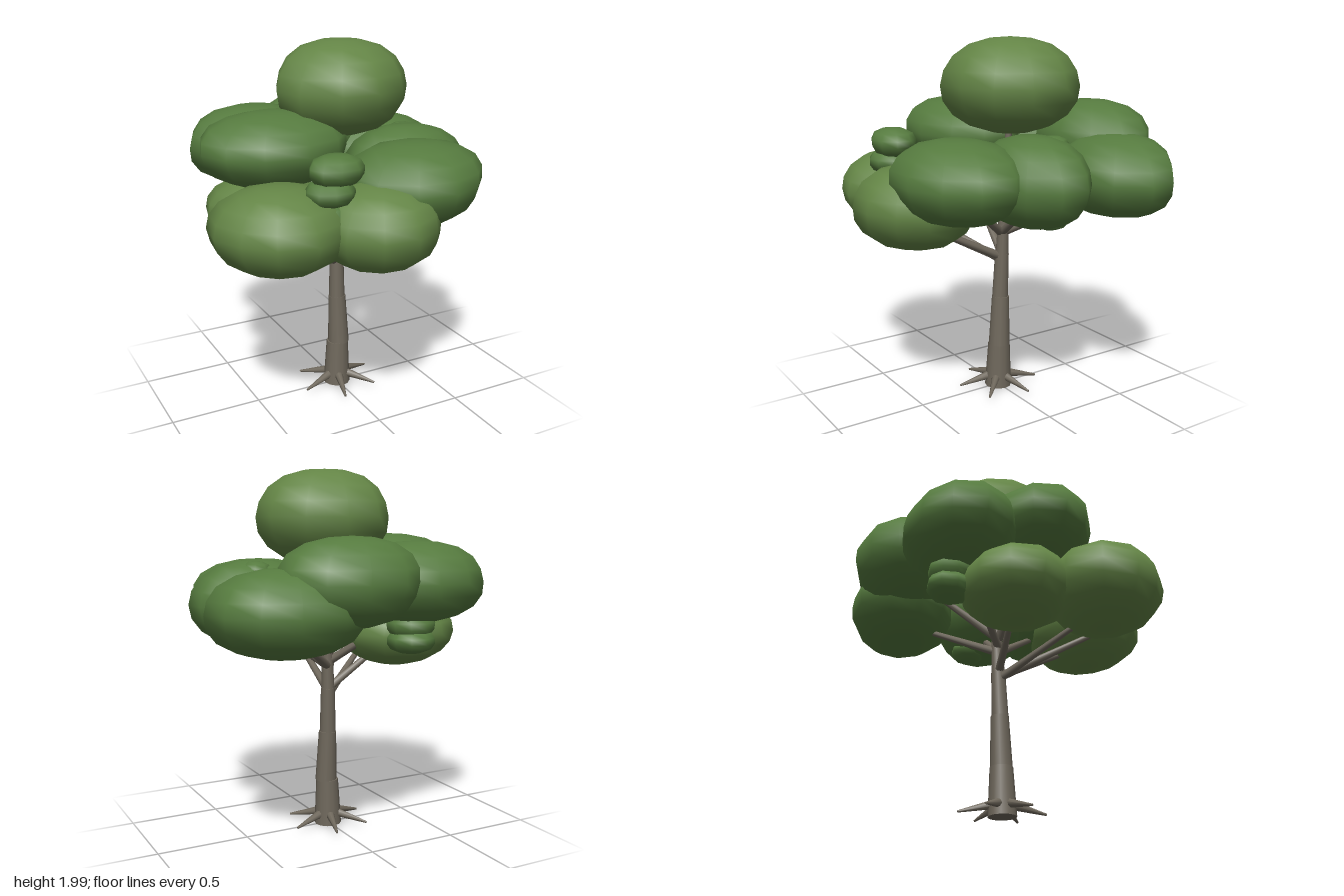
import * as THREE from 'three';

const bark = new THREE.MeshStandardMaterial({ color: 0x6f685c });
const leafLight = new THREE.MeshStandardMaterial({ color: 0x648546 });
const leafDark = new THREE.MeshStandardMaterial({ color: 0x567b3f });

function seeded(seed) {
  let s = seed;
  return () => (s = (s * 16807) % 2147483647) / 2147483647;
}

// Lumpy leaf mass: a coarse ellipsoid whose sides bulge by a few slow waves.
// skew > 0 widens it along the x = z diagonal, skew < 0 along the other one.
function leafMass(name, centre, radii, material, seed, skew = 0, around = 11, rows = 10) {
  const geo = new THREE.SphereGeometry(1, around, rows);
  const rand = seeded(seed * 7919 + 13);
  const b = rand() * 6.28, c = rand() * 6.28;
  const p = geo.attributes.position, n = geo.attributes.normal;
  const v = new THREE.Vector3();
  for (let i = 0; i < p.count; i++) {
    v.fromBufferAttribute(p, i);
    const t = Math.atan2(v.z, v.x), side = Math.hypot(v.x, v.z);
    const bulge = 1 + side * (skew * Math.sin(2 * t) + 0.03 * Math.sin(3 * t + b) + 0.03 * Math.sin(2.5 * v.y + c));
    // fuller shoulders than a plain ellipsoid, a little slimmer underneath
    v.multiplyScalar(1 + (v.y > 0 ? 0.22 : 0.15) * side * side * v.y * v.y);
    p.setXYZ(i, v.x * bulge * radii[0], v.y * radii[1], v.z * bulge * radii[2]);
    v.set(n.getX(i) / radii[0], n.getY(i) / radii[1], n.getZ(i) / radii[2]).normalize();
    n.setXYZ(i, v.x, v.y, v.z);
  }
  const mesh = new THREE.Mesh(geo, material);
  mesh.name = name;
  mesh.position.set(...centre);
  return mesh;
}

// Tapered round limb between two points
function limb(name, from, to, r0, r1, sides = 8) {
  const a = new THREE.Vector3(...from), b = new THREE.Vector3(...to);
  const dir = b.clone().sub(a);
  const mesh = new THREE.Mesh(new THREE.CylinderGeometry(r1, r0, dir.length(), sides), bark);
  mesh.name = name;
  mesh.position.copy(a).add(b).multiplyScalar(0.5);
  mesh.quaternion.setFromUnitVectors(new THREE.Vector3(0, 1, 0), dir.normalize());
  return mesh;
}

export function createModel() {
  const tree = new THREE.Group();
  tree.name = 'tree';

  // Trunk: stacked tapered sections that lean slightly, each stepping out over the one below
  const trunk = new THREE.Group();
  trunk.name = 'trunk';
  const sections = [
    [[0, 0.01, 0], [0.006, 0.27, -0.003], 0.076, 0.062],
    [[0.012, 0.265, 0], [0.008, 0.55, -0.012], 0.06, 0.049],
    [[0.006, 0.545, -0.01], [0.01, 0.8, -0.02], 0.045, 0.039],
    [[0.01, 0.79, -0.02], [0.02, 1.1, -0.03], 0.037, 0.026],
    [[0.02, 1.08, -0.03], [0.04, 1.6, -0.05], 0.026, 0.016],
  ];
  for (const [from, to, r0, r1] of sections) trunk.add(limb('trunkSection', from, to, r0, r1, 12));
  tree.add(trunk);

  // Roots: a ring of six thin spikes
  const roots = new THREE.Group();
  roots.name = 'roots';
  for (let i = 0; i < 6; i++) {
    const t = Math.PI / 4 + (i / 6) * Math.PI * 2, c = Math.cos(t), s = Math.sin(t);
    roots.add(limb('root', [c * 0.04, 0.075, s * 0.04], [c * 0.23, 0.03, s * 0.23], 0.026, 0.006));
  }
  tree.add(roots);

  // Branches: start height and tip
  const branches = new THREE.Group();
  branches.name = 'branches';
  const tips = [
    [0.76, [-0.42, 1.01, 0.3]], [0.77, [-0.28, 1.02, 0.46]], [0.78, [-0.03, 1.04, 0.5]],
    [0.8, [-0.34, 1.06, -0.08]], [0.92, [0.22, 1.18, 0.34]], [0.92, [0.4, 1.2, 0.02]],
    [0.92, [0.38, 1.16, -0.36]], [0.95, [-0.3, 1.24, -0.34]], [1.0, [0.13, 1.32, -0.45]],
    [1.0, [-0.32, 1.38, 0]],
  ];
  for (const [y, tip] of tips) branches.add(limb('branch', [0.006, y, -0.02], tip, 0.024, 0.014));
  tree.add(branches);

  // Large leaf masses: centre, radii, colour, diagonal skew
  const crown = new THREE.Group();
  crown.name = 'crown';
  const masses = [
    ['topLeaves', [0.045, 1.74, -0.048], [0.365, 0.255, 0.35], leafLight, -0.05],
    ['backLeaves', [0.15, 1.425, -0.53], [0.375, 0.225, 0.28], leafDark, -0.03],
    ['backLeftLeaves', [0.46, 1.28, -0.445], [0.385, 0.22, 0.31], leafDark, 0.08],
    ['leftLeaves', [0.4, 1.285, 0.055], [0.35, 0.235, 0.27], leafDark, 0.02],
    ['frontLeftLeaves', [0.245, 1.295, 0.4], [0.385, 0.215, 0.32], leafDark, -0.02],
    ['frontLeaves', [-0.02, 1.135, 0.51], [0.335, 0.22, 0.3], leafLight, -0.04],
    ['frontRightLeaves', [-0.5, 1.14, 0.36], [0.335, 0.22, 0.315], leafLight, 0.06],
    ['rightLeaves', [-0.365, 1.46, 0.01], [0.41, 0.195, 0.3], leafDark, 0],
    ['backRightLeaves', [-0.32, 1.405, -0.39], [0.375, 0.215, 0.305], leafDark, -0.02],
    ['lowRightLeaves', [-0.38, 1.11, -0.09], [0.315, 0.19, 0.295], leafLight, 0.03],
  ];
  masses.forEach(([name, centre, radii, mat, skew], i) => crown.add(leafMass(name, centre, radii, mat, i + 1, skew)));

  // Small tufts stacked beside the large masses
  const tufts = [
    [[-0.265, 1.44, 0.5], [0.145, 0.08, 0.12]], [[-0.3, 1.335, 0.5], [0.125, 0.07, 0.12]],
    [[-0.31, 1.22, 0.5], [0.1, 0.065, 0.1]], [[0.44, 1.465, -0.03], [0.08, 0.05, 0.1]],
    [[0.43, 1.09, -0.03], [0.11, 0.06, 0.1]], [[-0.27, 1.18, -0.42], [0.13, 0.08, 0.12]],
    [[-0.27, 1.1, -0.42], [0.13, 0.07, 0.13]],
  ];
  tufts.forEach(([centre, radii], i) => crown.add(leafMass('leafTuft', centre, radii, leafDark, i + 31, 0, 9, 7)));
  tree.add(crown);
  return tree;
}
